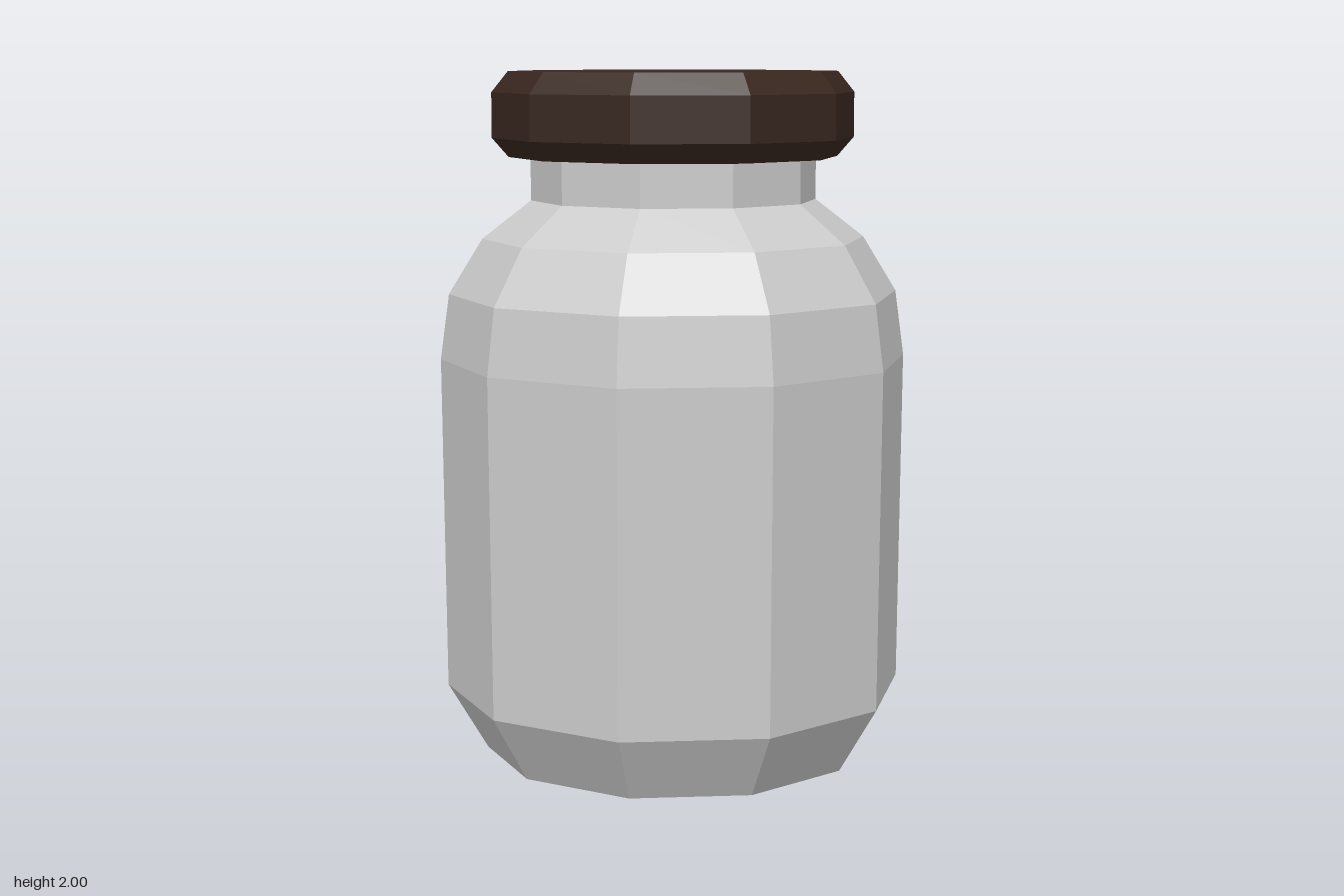
import * as THREE from 'three';

const SIDES = 10;

// Ten-sided turned part from [radius, height] pairs, listed bottom to top
function turned(name, profile, material) {
  const points = profile.map(([r, y]) => new THREE.Vector2(r, y));
  const mesh = new THREE.Mesh(new THREE.LatheGeometry(points, SIDES), material);
  mesh.name = name;
  return mesh;
}

export function createModel() {
  const group = new THREE.Group();
  group.name = 'jar';
  const glass = new THREE.MeshStandardMaterial({ color: 0xcccccc, flatShading: true });
  const brown = new THREE.MeshStandardMaterial({
    color: 0x38271f, flatShading: true, side: THREE.DoubleSide,
  });

  // Closed base, chamfer, wall and rounded shoulder
  group.add(turned('body', [
    [0, 0], [0.557, 0], [0.673, 0.195], [0.681, 1.17],
    [0.655, 1.36], [0.557, 1.52], [0.415, 1.63],
  ], glass));

  // Straight neck reaching up inside the lid
  group.add(turned('neck', [[0.415, 1.63], [0.415, 1.94], [0, 1.94]], glass));

  // Hollow lid with chamfered rims
  group.add(turned('lid', [
    [0.478, 1.755], [0.526, 1.81], [0.526, 1.94], [0.478, 2], [0, 2],
  ], brown));

  return group;
}
